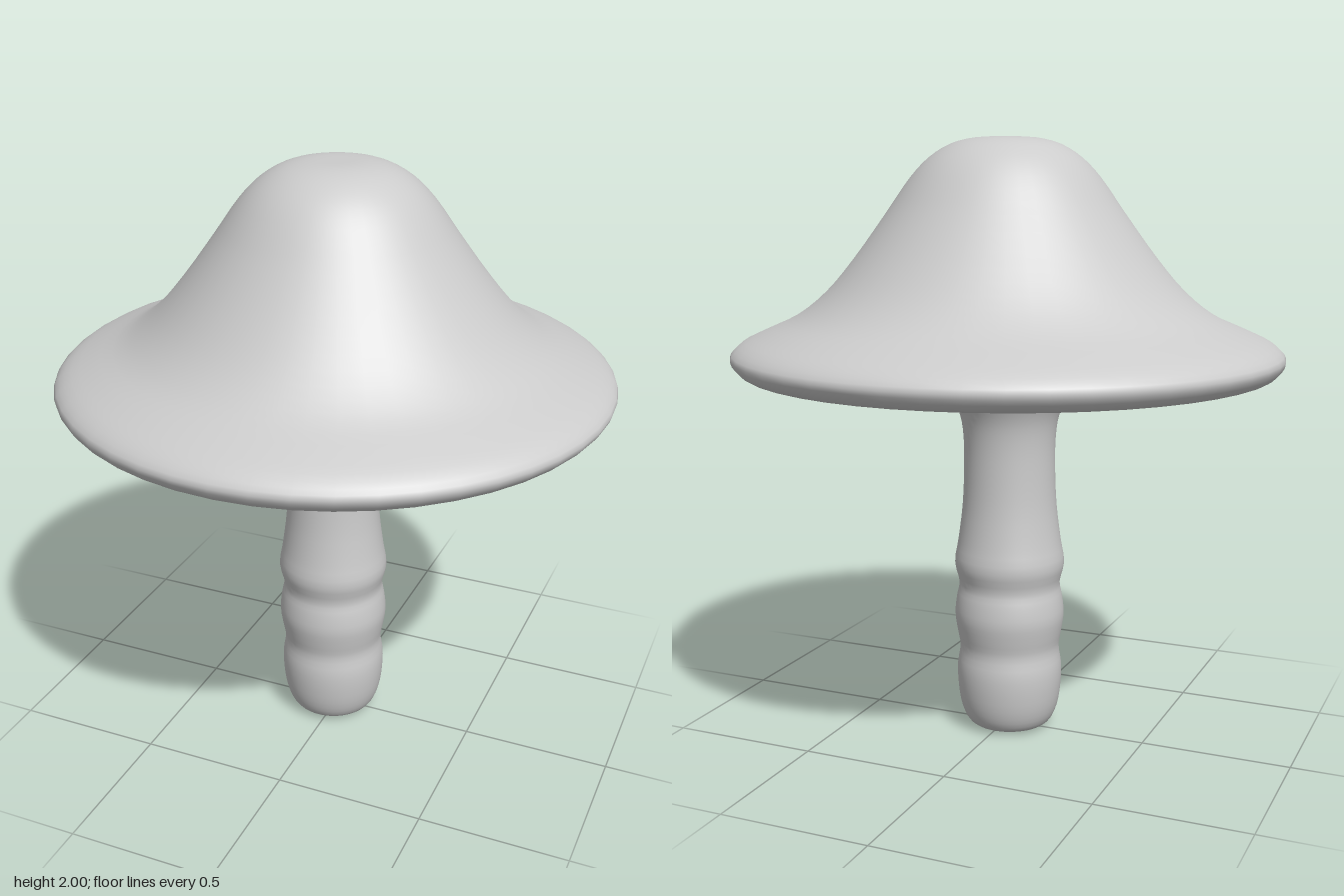
import * as THREE from 'three';

// Radius and height, from the foot up the stem, across the hollow underside, round the rim, up to the crown
const PROFILE = [
  [0, 0], [0.1, 0.002], [0.14, 0.02], [0.165, 0.07], [0.178, 0.15], [0.179, 0.22],
  [0.17, 0.285], [0.179, 0.34], [0.187, 0.4], [0.181, 0.46], [0.172, 0.51],
  [0.187, 0.58], [0.175, 0.66], [0.16, 0.78], [0.154, 0.92], [0.156, 1.02],
  [0.167, 1.09], [0.195, 1.16], [0.237, 1.235], [0.285, 1.32], [0.35, 1.385],
  [0.45, 1.41], [0.58, 1.385], [0.7, 1.33], [0.78, 1.265], [0.84, 1.236],
  [0.885, 1.25], [0.913, 1.295], [0.88, 1.335], [0.8, 1.375], [0.69, 1.425],
  [0.595, 1.5], [0.5, 1.61], [0.39, 1.76], [0.31, 1.873], [0.25, 1.935],
  [0.18, 1.978], [0.1, 1.998], [0, 2],
];

export function createModel() {
  const group = new THREE.Group();
  group.name = 'mushroom';

  const curve = new THREE.CatmullRomCurve3(
    PROFILE.map(([r, y]) => new THREE.Vector3(r, y, 0)), false, 'centripetal');
  const points = curve.getPoints((PROFILE.length - 1) * 3)
    .map((p) => new THREE.Vector2(Math.max(0, p.x), p.y));
  const geometry = new THREE.LatheGeometry(points, 48);

  // The stem stands slightly off the axis of the cap
  const pos = geometry.attributes.position;
  for (let i = 0; i < pos.count; i++) {
    const offset = -0.015 * (1 - THREE.MathUtils.smoothstep(pos.getY(i), 1.15, 1.42));
    pos.setX(i, pos.getX(i) + offset);
  }
  geometry.scale(1, 1, 0.985);

  const body = new THREE.Mesh(geometry, new THREE.MeshStandardMaterial({ color: 0xcccccc }));
  body.name = 'stemAndCap';
  group.add(body);
  return group;
}
